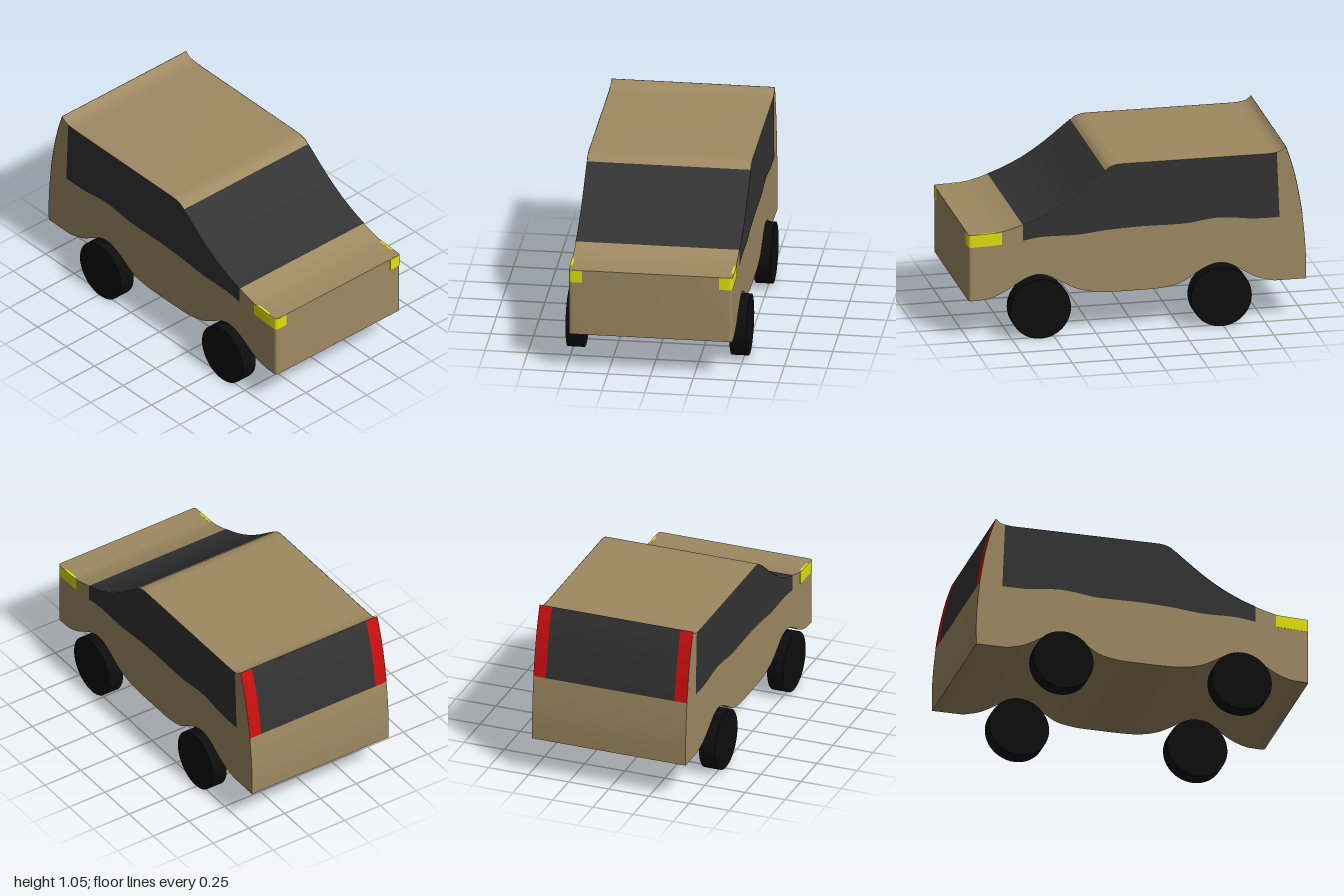
import * as THREE from 'three';
import { toCreasedNormals } from 'three/addons/utils/BufferGeometryUtils.js';

const HALF = 0.478;   // half body width
const GAP = 0.0015;   // how far glass and lamps stand off the body

const paint = new THREE.MeshStandardMaterial({ color: 0x9f8a62 });
const glass = new THREE.MeshStandardMaterial({ color: 0x333333, side: THREE.DoubleSide });
const yellow = new THREE.MeshStandardMaterial({ color: 0xe2e20f });
const red = new THREE.MeshStandardMaterial({ color: 0xcc0f0f, side: THREE.DoubleSide });
const rubber = new THREE.MeshStandardMaterial({ color: 0x0d0d0d });

// Smooth curve through [z, y] pairs; passes exactly through each of them
function smooth(pairs, steps = 6) {
  const curve = new THREE.CatmullRomCurve3(pairs.map(([z, y]) => new THREE.Vector3(z, y, 0)));
  return curve.getPoints((pairs.length - 1) * steps).map(p => new THREE.Vector2(p.x, p.y));
}

// Side profile in four runs: hood to roof, spoiler, tail, underside
const hood = smooth([[0.98, 0.642], [0.9, 0.644], [0.81, 0.65], [0.68, 0.686], [0.57, 0.728], [0.464, 0.782],
  [0.357, 0.852], [0.19, 0.983], [0.165, 1.002], [0.12, 1.015], [0.08, 1.017]]);
const spoiler = smooth([[-0.74, 1.017], [-0.79, 1.018], [-0.826, 1.022], [-0.855, 1.032], [-0.88, 1.053]]);
const tail = smooth([[-0.88, 1.053], [-0.91, 0.963], [-0.936, 0.865], [-0.958, 0.755], [-0.977, 0.635],
  [-0.992, 0.49], [-0.999, 0.36], [-0.998, 0.24]]);
const under = smooth([[-0.81, 0.24], [-0.714, 0.267], [-0.63, 0.312], [-0.553, 0.358], [-0.487, 0.373],
  [-0.42, 0.358], [-0.34, 0.316], [-0.26, 0.267], [-0.15, 0.243], [0, 0.239], [0.14, 0.239], [0.25, 0.246],
  [0.357, 0.273], [0.44, 0.316], [0.52, 0.362], [0.587, 0.376], [0.65, 0.362], [0.73, 0.32],
  [0.81, 0.273], [0.89, 0.246], [0.98, 0.24]]);
const sill = smooth([[-0.842, 0.626], [-0.687, 0.628], [-0.553, 0.644], [-0.487, 0.648], [-0.42, 0.644],
  [-0.285, 0.627], [-0.018, 0.627], [0.17, 0.62], [0.357, 0.603], [0.57, 0.604], [0.68, 0.589]]);

const between = (pts, lo, hi) => pts.filter(p => p.x > lo - 1e-4 && p.x < hi + 1e-4);

function add(parent, name, geometry, material) {
  const mesh = new THREE.Mesh(geometry, material);
  mesh.name = name;
  parent.add(mesh);
  return mesh;
}

// Sheet that follows profile points across the car from x0 to x1
function ribbon(pts, x0, x1, dz, dy) {
  const pos = [], index = [];
  pts.forEach((p, i) => {
    pos.push(x0, p.y + dy, p.x + dz, x1, p.y + dy, p.x + dz);
    if (i) {
      const a = 2 * i - 2;
      index.push(a, a + 1, a + 2, a + 1, a + 3, a + 2);
    }
  });
  const g = new THREE.BufferGeometry();
  g.setAttribute('position', new THREE.Float32BufferAttribute(pos, 3));
  g.setIndex(index);
  g.computeVertexNormals();
  return g;
}

// Plan outline given as (x, z), raised from y0 to y1
function raisePlan(shape, y0, y1) {
  return new THREE.ExtrudeGeometry(shape, { depth: y1 - y0, bevelEnabled: false, curveSegments: 6 })
    .rotateX(-Math.PI / 2).translate(0, y0, 0);
}

export function createModel() {
  const car = new THREE.Group();
  car.name = 'car';

  // Body shell: side profile extruded across the width
  const profile = new THREE.Shape([...hood, ...spoiler, ...tail.slice(1), ...under]);
  const shell = new THREE.ExtrudeGeometry(profile, { depth: 2 * HALF, bevelEnabled: false })
    .rotateY(-Math.PI / 2).translate(HALF, 0, 0);
  add(car, 'bodyShell', toCreasedNormals(shell, 0.5), paint);

  // Nose with rounded upright corners
  const nose = new THREE.Shape();
  nose.moveTo(-HALF, -0.98);
  nose.quadraticCurveTo(-HALF, -1, -HALF + 0.02, -1);
  nose.lineTo(HALF - 0.02, -1);
  nose.quadraticCurveTo(HALF, -1, HALF, -0.98);
  add(car, 'nose', toCreasedNormals(raisePlan(nose, 0.24, 0.642), 0.6), paint);

  // Windscreen and rear window
  add(car, 'windscreen', ribbon(between(hood, 0.19, 0.68), -HALF - GAP, HALF + GAP, GAP, GAP), glass);
  const tailTop = tail.filter(p => p.y > 0.634);
  add(car, 'rearWindow', ribbon(tailTop, -0.4, 0.4, -GAP, 0), glass);

  // Side window outline, from the sill up to the roof line
  const sideWindow = new THREE.Shape([
    ...between(hood, 0, 0.68), ...between(spoiler, -0.826, -0.7), ...sill]);

  for (const [side, s] of [['left', 1], ['right', -1]]) {
    const pane = new THREE.ShapeGeometry(sideWindow).rotateY(s * -Math.PI / 2);
    if (s < 0) pane.scale(1, 1, -1); // keeps the front of the pane forward
    pane.translate(s * (HALF + GAP), 0, 0);
    add(car, side + 'SideWindow', pane, glass);

    add(car, side + 'TailLight', ribbon(tailTop, s * 0.4, s * HALF, -GAP, 0), red);

    // Headlight wraps round the nose corner and rises with the hood
    const x = HALF + GAP, z = 1 + GAP, lamp = new THREE.Shape();
    lamp.moveTo(s * 0.4, -z);
    lamp.lineTo(s * (x - 0.02), -z);
    lamp.quadraticCurveTo(s * x, -z, s * x, -0.98);
    lamp.lineTo(s * x, -0.805);
    lamp.lineTo(s * (x - 0.015), -0.805);
    lamp.lineTo(s * (x - 0.015), -0.97);
    lamp.lineTo(s * 0.4, -0.97);
    const lampGeo = raisePlan(lamp, 0.566, 0.641);
    const p = lampGeo.attributes.position;
    for (let i = 0; i < p.count; i++) p.setY(i, p.getY(i) + Math.max(0, 0.98 - p.getZ(i)) * 0.04);
    add(car, side + 'Headlight', toCreasedNormals(lampGeo, 0.6), yellow);

    for (const [end, wz] of [['Front', 0.585], ['Rear', -0.487]]) {
      const wheel = add(car, side + end + 'Wheel', new THREE.CylinderGeometry(0.18, 0.18, 0.098, 48), rubber);
      wheel.rotation.z = Math.PI / 2;
      wheel.position.set(s * 0.479, 0.18, wz);
    }
  }
  return car;
}
